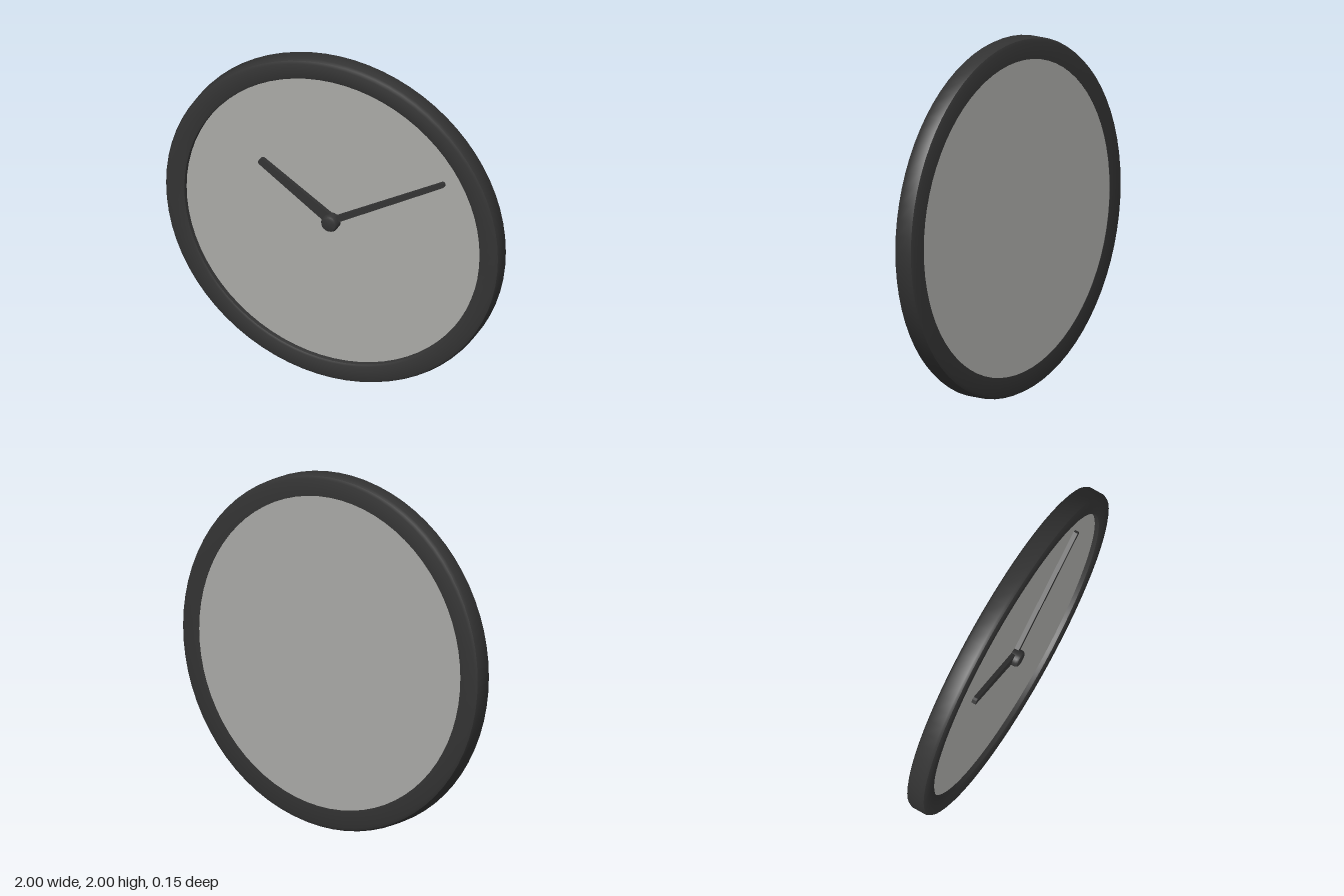
import * as THREE from 'three';
import { toCreasedNormals } from 'three/addons/utils/BufferGeometryUtils.js';

export function createModel() {
  const group = new THREE.Group();
  const black = new THREE.MeshStandardMaterial({ color: 0x333333 });
  black.name = 'charcoal';
  const grey = new THREE.MeshStandardMaterial({ color: 0xa9a9a6 });
  grey.name = 'dialGrey';

  const add = (name, geometry, material, x = 0, y = 1, z = 0) => {
    const mesh = new THREE.Mesh(geometry, material);
    mesh.name = name;
    mesh.position.set(x, y, z);
    group.add(mesh);
    return mesh;
  };

  // Round rim: a softly bevelled section turned about the z axis
  const section = [
    [0.88, -0.073], [0.975, -0.073], [0.992, -0.066], [1, -0.05],
    [1, 0.022], [0.992, 0.038], [0.975, 0.045],
    [0.895, 0.045], [0.883, 0.04], [0.88, 0.03], [0.88, -0.073],
  ].map(([r, z]) => new THREE.Vector2(r, z));
  const rim = new THREE.LatheGeometry(section, 72).rotateX(Math.PI / 2);
  add('rim', toCreasedNormals(rim, 0.6), black);

  // Dial, recessed at the front and nearly flush at the back
  const dial = new THREE.CylinderGeometry(0.884, 0.884, 0.087, 72).rotateX(Math.PI / 2);
  add('dial', dial, grey, 0, 1, -0.0275);

  // Tapered hands, each lying from the hub to its tip
  const hand = (name, tipX, tipY, baseWidth, tipWidth) => {
    const length = Math.hypot(tipX, tipY);
    const b = baseWidth / 2, t = tipWidth / 2;
    const shape = new THREE.Shape();
    shape.moveTo(0, -b);
    shape.lineTo(length - t * 0.5, -t);
    shape.lineTo(length, -t * 0.5);
    shape.lineTo(length, t * 0.5);
    shape.lineTo(length - t * 0.5, t);
    shape.lineTo(0, b);
    const geometry = new THREE.ExtrudeGeometry(shape, { depth: 0.026, bevelEnabled: false });
    add(name, geometry, black, -0.005, 1, 0.015).rotation.z = Math.atan2(tipY, tipX);
  };
  hand('hourHand', -0.432, 0.285, 0.064, 0.042);
  hand('minuteHand', 0.672, 0.392, 0.036, 0.028);

  // Hub knob with a rounded cap
  const knob = [
    [0.049, 0.01], [0.049, 0.06], [0.043, 0.071], [0.032, 0.075], [0, 0.075],
  ].map(([r, z]) => new THREE.Vector2(r, z));
  const hub = new THREE.LatheGeometry(knob, 24).rotateX(Math.PI / 2);
  add('hub', toCreasedNormals(hub, 0.7), black, -0.007, 0.995);

  return group;
}
